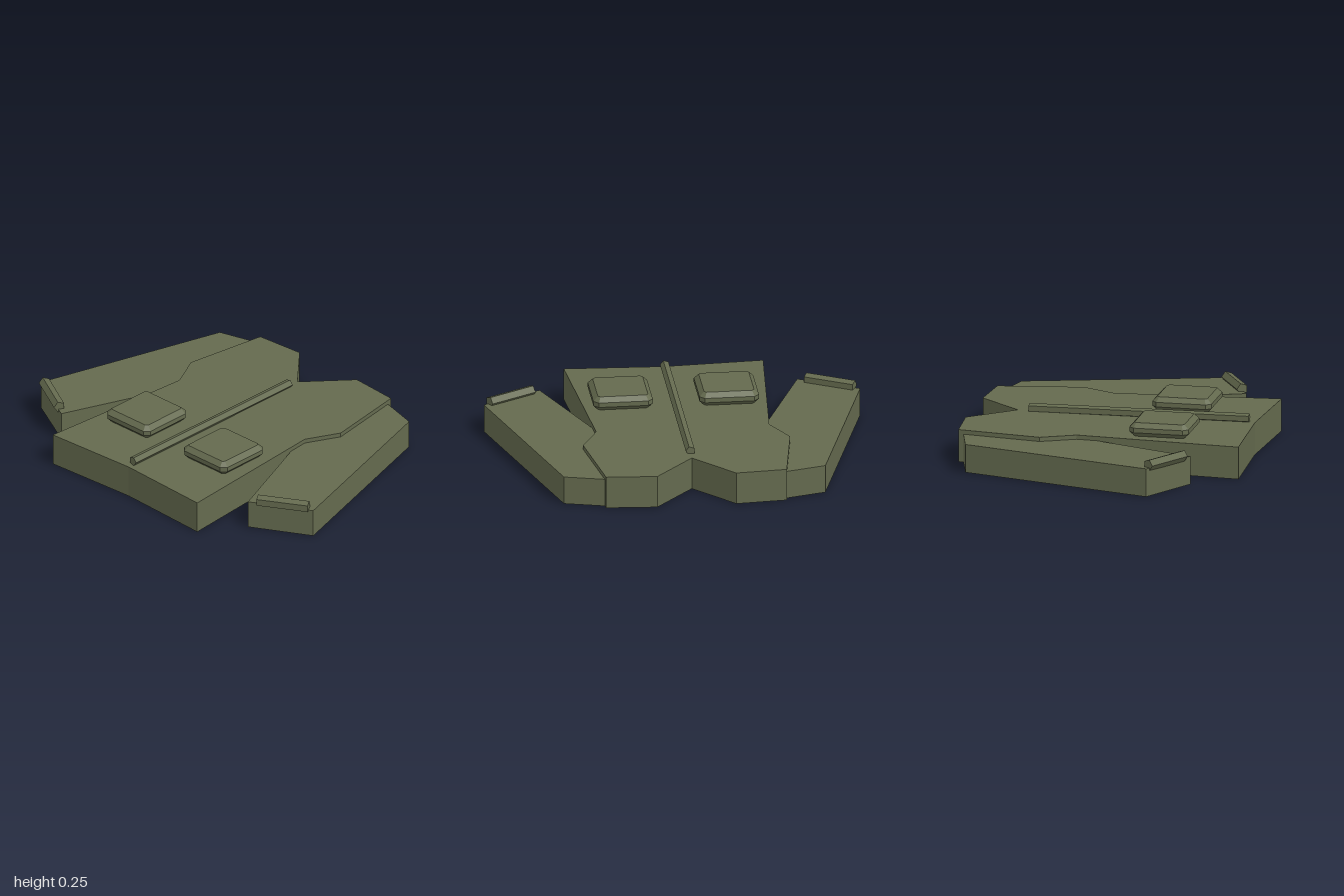
import * as THREE from 'three';

const olive = new THREE.MeshStandardMaterial({ color: 0x646a4e });
olive.name = 'olive cloth';

function addMesh(parent, name, geometry) {
  const mesh = new THREE.Mesh(geometry, olive);
  mesh.name = name;
  parent.add(mesh);
  return mesh;
}

// Flat slab: outline given as [x, z] points, standing on y = 0
function slab(points, height, bevel = 0) {
  const shape = new THREE.Shape(points.map(([x, z]) => new THREE.Vector2(x, -z)));
  return new THREE.ExtrudeGeometry(shape, {
    depth: height - 2 * bevel,
    bevelEnabled: bevel > 0,
    bevelSize: bevel,
    bevelThickness: bevel,
    bevelSegments: 1,
  }).rotateX(-Math.PI / 2).translate(0, bevel, 0);
}

// Five-sided rod from a to b, with one ridge pointing along ridge
function rod(a, b, ridge, radius) {
  const along = b.clone().sub(a);
  const length = along.length();
  along.normalize();
  const side = ridge.clone().addScaledVector(along, -ridge.dot(along)).normalize();
  const third = new THREE.Vector3().crossVectors(along, side);
  const section = [0, 1, 2, 3, 4].map((i) => {
    const t = (i * Math.PI * 2) / 5;
    return new THREE.Vector2(Math.cos(t) * radius, Math.sin(t) * radius);
  });
  const matrix = new THREE.Matrix4().makeBasis(side, third, along).setPosition(a);
  return new THREE.ExtrudeGeometry(new THREE.Shape(section), { depth: length, bevelEnabled: false })
    .applyMatrix4(matrix);
}

export function createModel() {
  const jacket = new THREE.Group();
  jacket.name = 'jacket';
  const v = (x, y, z) => new THREE.Vector3(x, y, z);

  // Body with V neck and flared hem
  const half = [[0.21, -0.775], [0.48, -0.755], [0.55, -0.3], [0.46, -0.12], [0.53, 0.77]];
  const otherHalf = half.map(([x, z]) => [-x, z]).reverse();
  addMesh(jacket, 'body', slab([[0, -0.54], ...half, [0, 0.742], ...otherHalf], 0.175));

  // Front closure strip
  addMesh(jacket, 'zipper', rod(v(0, 0.19, -0.478), v(0, 0.198, 0.712), v(1, 0, 0), 0.025));

  const sleeve = [[0.4, -0.75], [0.695, -0.67], [1, 0.375], [0.685, 0.545], [0.44, -0.08]];
  const c = 0.012; // pocket corner cut
  const w = 0.133;
  const d = 0.135;
  const pocket = [[-w + c, -d], [w - c, -d], [w, -d + c], [w, d - c],
    [w - c, d], [-w + c, d], [-w, d - c], [-w, -d + c]];

  for (const s of [1, -1]) {
    const sideName = s > 0 ? 'left' : 'right';
    addMesh(jacket, `${sideName}Sleeve`, slab(sleeve.map(([x, z]) => [s * x, z]), 0.152));
    addMesh(jacket, `${sideName}Cuff`,
      rod(v(s * 0.97, 0.165, 0.378), v(s * 0.727, 0.165, 0.515), v(-0.5, 0, -0.87 * s), 0.031));
    addMesh(jacket, `${sideName}Pocket`, slab(pocket, 0.075, 0.025))
      .position.set(s * 0.282, 0.174, 0.315);
  }
  return jacket;
}
